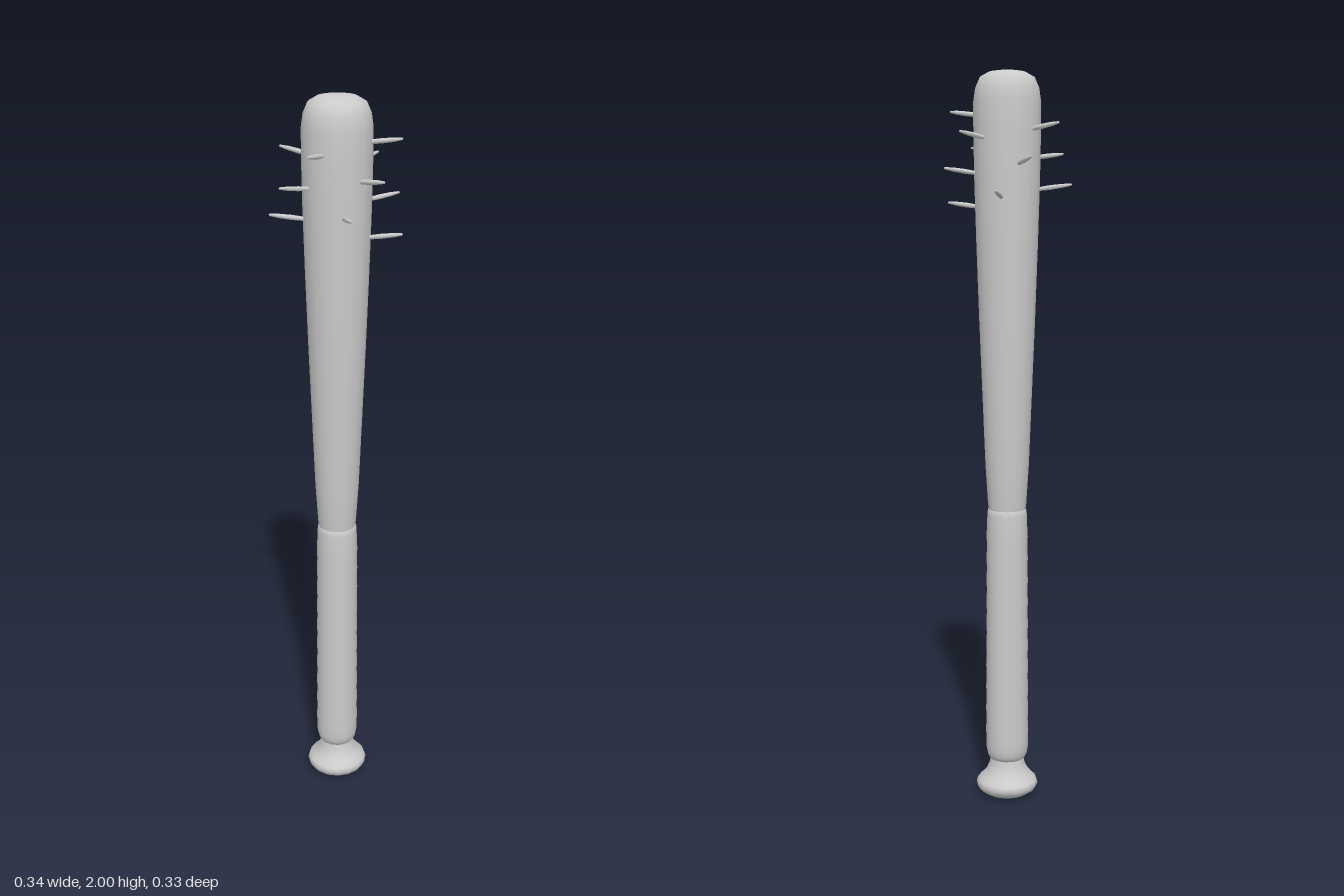
import * as THREE from 'three';

const SIDES = 16;
const AXIS_Z = -0.005;
const material = new THREE.MeshStandardMaterial({ color: 0xcccccc });

// Turned part from [radius, height] pairs, listed bottom to top
function turned(name, profile) {
  const points = profile.map(([r, y]) => new THREE.Vector2(r, y));
  const mesh = new THREE.Mesh(new THREE.LatheGeometry(points, SIDES), material);
  mesh.name = name;
  mesh.position.z = AXIS_Z;
  return mesh;
}

// Thin nail sticking out of the barrel, tilted slightly upwards to its tip
function nail(x, y, z) {
  const tip = new THREE.Vector3(x, y, z - AXIS_Z);
  const out = new THREE.Vector3(tip.x, 0, tip.z);
  const reach = out.length();
  const base = out.normalize().multiplyScalar(0.07).setY(y - 0.014);
  const length = reach - 0.07;
  const profile = [[0.005, 0], [0.0065, 0.45], [0.0055, 0.75], [0.003, 0.98], [0, 1]]
    .map(([r, t]) => new THREE.Vector2(r, t * length));
  const mesh = new THREE.Mesh(new THREE.LatheGeometry(profile, 8), material);
  mesh.name = 'nail';
  mesh.position.copy(base);
  mesh.position.z += AXIS_Z;
  mesh.quaternion.setFromUnitVectors(new THREE.Vector3(0, 1, 0), tip.sub(base).normalize());
  return mesh;
}

export function createModel() {
  const model = new THREE.Group();
  model.name = 'spikedBat';

  // Barrel with rounded end
  model.add(turned('barrel', [
    [0.048, 0.8], [0.053, 0.84], [0.06, 0.95], [0.068, 1.15], [0.076, 1.35],
    [0.083, 1.55], [0.088, 1.72], [0.09, 1.84], [0.09, 1.92], [0.085, 1.955],
    [0.073, 1.982], [0.05, 1.995], [0.025, 1.999], [0, 2],
  ]));

  // Wrapped grip with a faint ripple
  const grip = [[0.042, 0.107], [0.05, 0.11], [0.056, 0.122], [0.059, 0.14]];
  for (let i = 0; i <= 20; i++) {
    const y = 0.16 + i * 0.031;
    grip.push([0.0595 - 0.003 * (i / 20) + (i % 2 ? 0.0008 : -0.0008), y]);
  }
  grip.push([0.055, 0.81], [0.053, 0.825], [0.047, 0.828]);
  model.add(turned('grip', grip));

  // Flared knob with domed underside
  model.add(turned('knob', [
    [0, 0], [0.035, 0.002], [0.062, 0.008], [0.08, 0.02], [0.087, 0.034],
    [0.083, 0.046], [0.07, 0.058], [0.057, 0.075], [0.049, 0.095], [0.045, 0.12],
  ]));

  // Nails, given by the position of each tip
  const nails = new THREE.Group();
  nails.name = 'nails';
  const tips = [
    [0.168, 1.9, -0.018], [0.168, 1.66, -0.032], [0.152, 1.81, 0.071],
    [0.09, 1.724, 0.14], [-0.011, 1.876, 0.167], [-0.1, 1.79, 0.137],
    [-0.158, 1.705, 0.068], [-0.17, 1.858, -0.037], [-0.13, 1.768, -0.12],
    [-0.052, 1.682, -0.169], [0.054, 1.835, -0.167], [0.13, 1.746, -0.117],
  ];
  for (const tip of tips) nails.add(nail(...tip));
  model.add(nails);

  return model;
}
